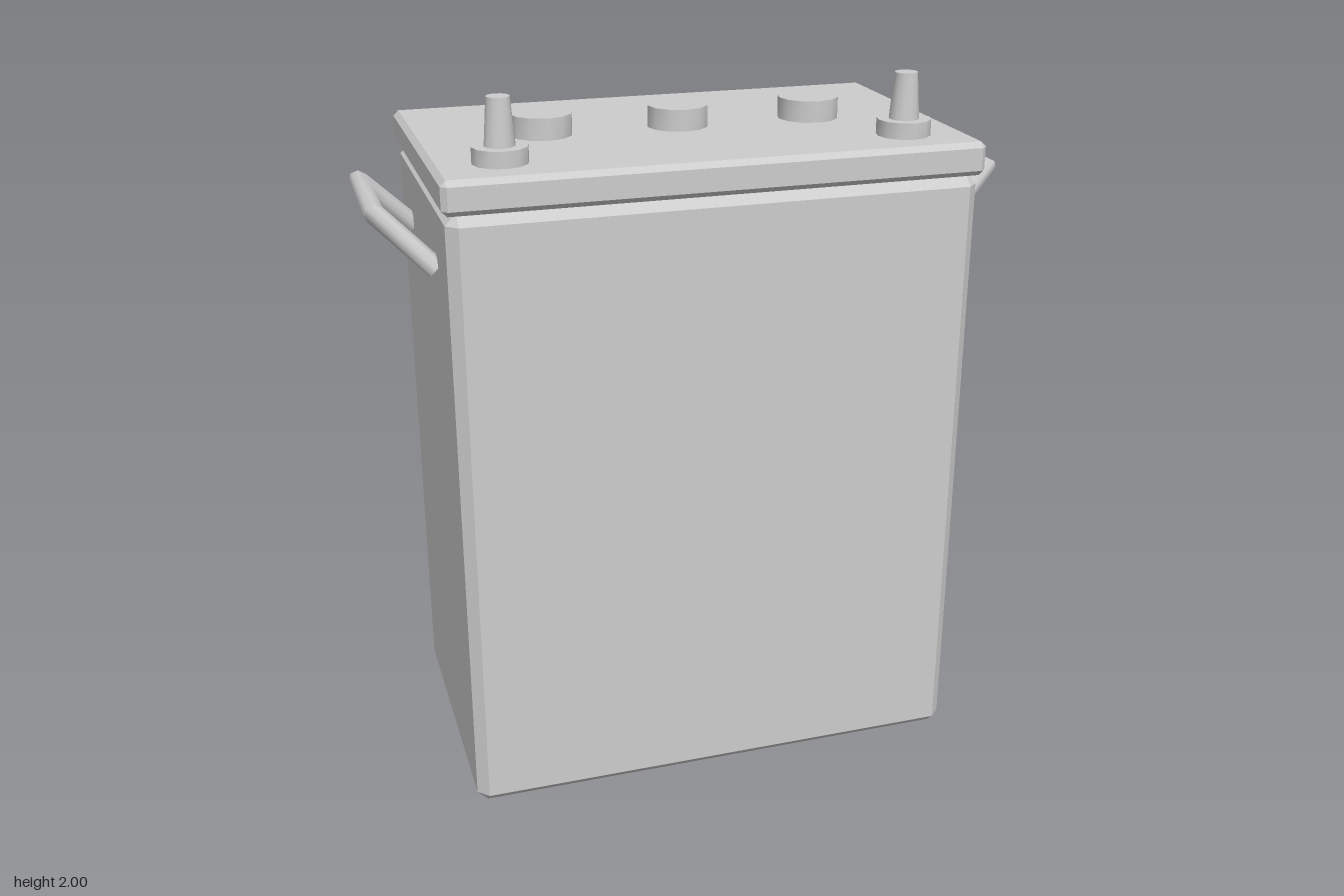
import * as THREE from 'three';
import { toCreasedNormals } from 'three/addons/utils/BufferGeometryUtils.js';
import { ConvexGeometry } from 'three/addons/geometries/ConvexGeometry.js';

const grey = new THREE.MeshStandardMaterial({ name: 'grey casing', color: 0xcccccc });

function add(parent, name, geometry, x = 0, y = 0, z = 0) {
  const mesh = new THREE.Mesh(geometry, grey);
  mesh.name = name;
  mesh.position.set(x, y, z);
  parent.add(mesh);
  return mesh;
}

// Box with every edge cut by a single chamfer
function chamferBox(w, h, d, b) {
  const points = [];
  for (const i of [-1, 1]) for (const j of [-1, 1]) for (const k of [-1, 1]) {
    const x = w / 2, y = h / 2, z = d / 2;
    points.push(
      new THREE.Vector3(i * x, j * (y - b), k * (z - b)),
      new THREE.Vector3(i * (x - b), j * y, k * (z - b)),
      new THREE.Vector3(i * (x - b), j * (y - b), k * z));
  }
  return new ConvexGeometry(points);
}

// Upright cylinder with its bottom at y = 0
function disc(rTop, rBottom, h) {
  const g = new THREE.CylinderGeometry(rTop, rBottom, h, 12);
  g.translate(0, h / 2, 0);
  return toCreasedNormals(g, 0.7);
}

// Bent bar: the rings of a cylinder are moved onto a path with mitred corners
function handleGeometry(radius) {
  const path = [[-0.225, -0.205], [-0.175, 0], [0.175, 0], [0.225, -0.205]]
    .map(p => new THREE.Vector2(...p));
  const side = [];
  for (let i = 0; i < 3; i++) {
    const d = path[i + 1].clone().sub(path[i]).normalize();
    side.push(new THREE.Vector2(-d.y, d.x));
  }
  const mitre = path.map((p, i) => {
    const a = side[Math.max(i - 1, 0)], b = side[Math.min(i, 2)];
    return a.clone().add(b).divideScalar(1 + a.dot(b));
  });
  const g = new THREE.CylinderGeometry(radius, radius, 1, 8, 3);
  const pos = g.attributes.position;
  for (let i = 0; i < pos.count; i++) {
    const row = Math.round((0.5 - pos.getY(i)) * 3), x = pos.getX(i);
    pos.setXY(i, path[row].x + mitre[row].x * x, path[row].y + mitre[row].y * x);
  }
  // Lean the handle outwards at 45 degrees, with its bar along z
  const s = Math.SQRT1_2;
  g.applyMatrix4(new THREE.Matrix4().makeBasis(
    new THREE.Vector3(0, 0, -1), new THREE.Vector3(s, s, 0), new THREE.Vector3(s, -s, 0)));
  return toCreasedNormals(g, 0.9);
}

export function createModel() {
  const model = new THREE.Group();
  model.name = 'battery';

  // Case and lid
  add(model, 'case', chamferBox(1.446, 1.74, 0.866, 0.03), 0, 0.87, 0);
  add(model, 'lid', chamferBox(1.466, 0.092, 0.884, 0.015), 0, 1.785, 0);

  // Filler caps
  for (const x of [-0.387, 0, 0.387]) {
    add(model, 'fillerCap', disc(0.086, 0.086, 0.065), x, 1.826, 0);
  }

  for (const s of [1, -1]) {
    // Terminal: collar and tapered post
    const terminal = new THREE.Group();
    terminal.name = s > 0 ? 'leftTerminal' : 'rightTerminal';
    terminal.position.set(s * 0.555, 1.826, 0.285);
    add(terminal, 'collar', disc(0.074, 0.074, 0.049));
    add(terminal, 'post', disc(0.031, 0.041, 0.126), 0, 0.048, 0);
    model.add(terminal);

    // Carrying handle
    const handle = add(model, s > 0 ? 'leftHandle' : 'rightHandle',
      handleGeometry(0.028), s * 0.868, 1.692, 0);
    if (s < 0) handle.rotation.y = Math.PI;
  }
  return model;
}
